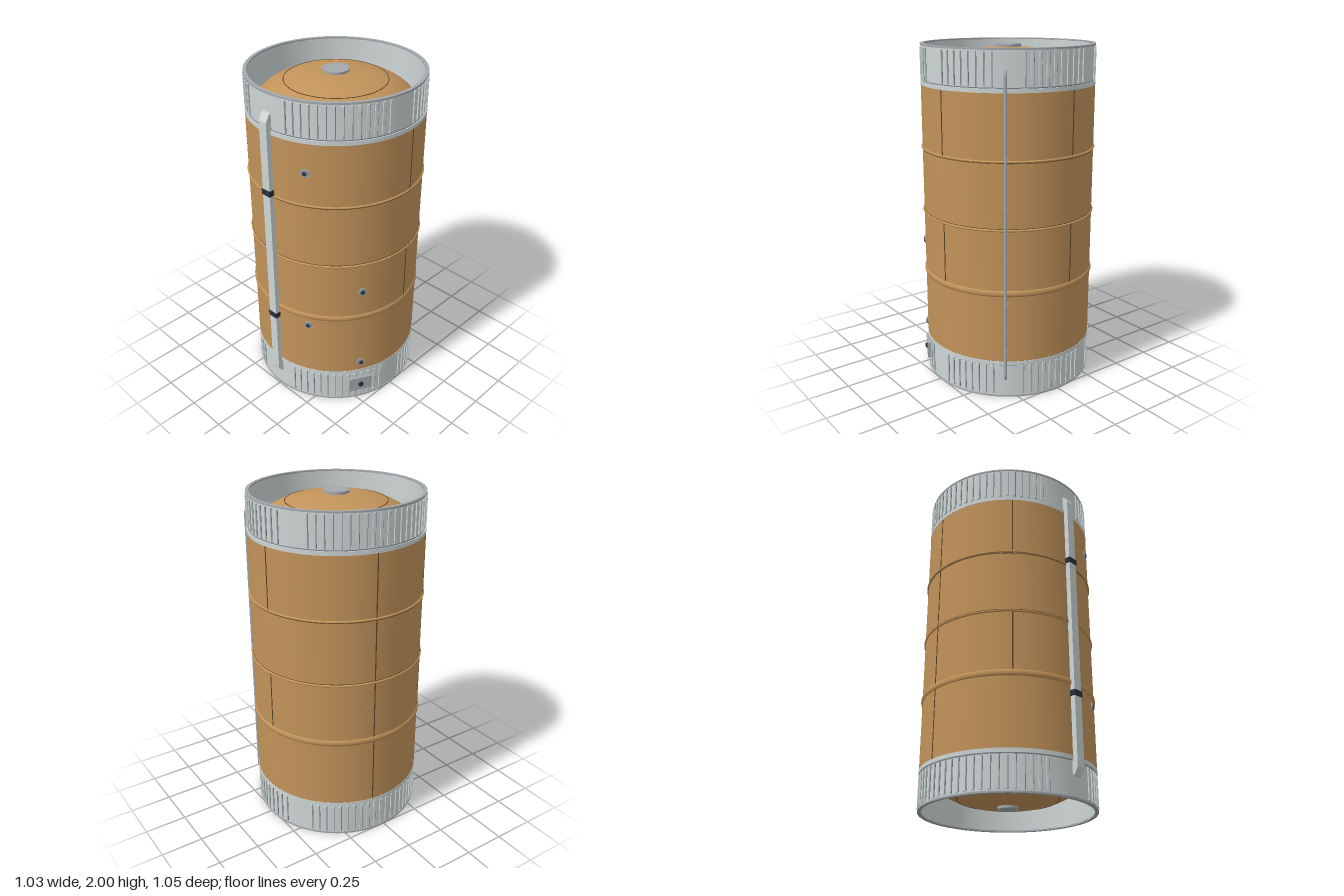
import * as THREE from 'three';
import { toCreasedNormals } from 'three/addons/utils/BufferGeometryUtils.js';

const mat = (name, color, side = THREE.FrontSide) => {
  const m = new THREE.MeshStandardMaterial({ color, side });
  m.name = name;
  return m;
};

export function createModel() {
  const tan = mat('tan foam', 0xc2935a);
  const light = mat('light grey metal', 0xcdd5d5);
  const grey = mat('mid grey metal', 0xa4a9ad);
  const steel = mat('steel fitting', 0x7c858c);
  const dark = mat('dark strap', 0x2a3036);
  const seam = mat('brown seam', 0x5e4628);

  const model = new THREE.Group();
  const body = new THREE.Group();
  body.name = 'tank';
  body.position.z = -0.012;
  model.add(body);

  const add = (name, geo, material, parent = body) => {
    const m = new THREE.Mesh(geo, material);
    m.name = name;
    parent.add(m);
    return m;
  };
  // Solid of revolution from [radius, y] points
  const lathe = (pts, creased = true) => {
    const g = new THREE.LatheGeometry(pts.map(p => new THREE.Vector2(...p)), 96);
    return creased ? toCreasedNormals(g, 0.6) : g;
  };
  const tube = (inner, outer, y0, y1) =>
    lathe([[inner, y0], [outer, y0], [outer, y1], [inner, y1], [inner, y0]]);
  // Put an object on the wall at an angle (degrees) measured from the front
  const place = (obj, deg, r, y) => {
    const a = THREE.MathUtils.degToRad(deg);
    obj.position.set(Math.sin(a) * r, y, Math.cos(a) * r);
    obj.rotation.y = a;
    return obj;
  };

  // Outer wall
  add('outerWall', tube(0.488, 0.507, 0.225, 1.775), tan);

  // Inner tank with elliptical domes
  const profile = [];
  for (let i = 0; i <= 20; i++) {
    const t = (i / 20) * Math.PI / 2;
    profile.push([0.47 * Math.sin(t), 0.25 - 0.21 * Math.cos(t)]);
  }
  for (let i = 20; i >= 0; i--) {
    const t = (i / 20) * Math.PI / 2;
    profile.push([0.47 * Math.sin(t), 1.76 + 0.22 * Math.cos(t)]);
  }
  add('innerTank', lathe(profile, false), tan);

  // Dome caps, cap bolts and weld circles
  const domeDrop = Math.sqrt(1 - (0.29 / 0.47) ** 2);
  for (const top of [true, false]) {
    const r = top ? 0.075 : 0.06;
    const y = top ? 1.98 : 0.04;
    const cap = add(top ? 'topCap' : 'bottomCap', new THREE.CylinderGeometry(r, r, 0.024, 48), grey);
    cap.position.y = y;
    for (let i = 0; i < 12; i++) {
      const bolt = add('capBolt', new THREE.CylinderGeometry(0.004, 0.004, 0.028, 8), grey);
      place(bolt, i * 30, r * 0.85, y);
    }
    const weld = add('domeWeld', new THREE.TorusGeometry(0.29, 0.0025, 6, 96), seam);
    weld.rotation.x = Math.PI / 2;
    weld.position.y = top ? 1.76 + 0.22 * domeDrop : 0.25 - 0.21 * domeDrop;
  }

  // Horizontal ribs: two thin, one thick
  for (const [y, h] of [[1.405, 0.006], [1.02, 0.007], [0.648, 0.019]]) {
    const rib = [];
    for (let i = 0; i <= 8; i++) {
      const t = -Math.PI / 2 + Math.PI * i / 8;
      rib.push([0.505 + 0.010 * Math.cos(t), y + h * Math.sin(t)]);
    }
    add('wallRib', lathe(rib, false), tan);
  }
  for (const y of [1.396, 1.029]) {
    add('ribSeam', tube(0.5, 0.5085, y - 0.0015, y + 0.0015), seam);
  }

  // Vertical wall seams
  for (const [deg, spans] of [
    [-43, [[1.41, 1.77], [0.667, 1.015]]],
    [98, [[1.41, 1.77], [0.667, 1.015]]],
    [188, [[1.41, 1.77], [0.667, 1.015]]],
    [-99, [[1.41, 1.77], [1.03, 1.395], [0.667, 1.015], [0.23, 0.63]]],
  ]) {
    for (const [y0, y1] of spans) {
      const s = add('wallSeam', new THREE.BoxGeometry(0.006, y1 - y0, 0.006), seam);
      place(s, deg, 0.506, (y0 + y1) / 2);
    }
  }

  // Ribbed end skirts
  const bare = [[-20, 12], [82, 94], [134, 150], [202, 216]];
  for (const top of [true, false]) {
    const skirt = new THREE.Group();
    skirt.name = top ? 'topSkirt' : 'bottomSkirt';
    body.add(skirt);
    const Y = y => (top ? 2 - y : y);
    const ring = (name, ri, ro, a, b, m) =>
      add(name, tube(ri, ro, Math.min(Y(a), Y(b)), Math.max(Y(a), Y(b))), m, skirt);
    ring('skirtWall', 0.485, 0.501, 0.008, 0.228, light);
    ring('skirtRim', 0.485, 0.505, 0, 0.01, grey);
    ring('skirtCollar', 0.49, 0.509, 0.207, 0.23, light);
    ring('collarSeam', 0.49, 0.5025, 0.202, 0.207, steel);
    for (let deg = -22; deg < 338; deg += 5) {
      const d = deg > 180 && deg > 330 ? deg - 360 : deg;
      if (bare.some(([a, b]) => d > a && d < b)) continue;
      const s = add('stringer', new THREE.BoxGeometry(0.015, 0.18, 0.012), light, skirt);
      place(s, deg, 0.502, Y(0.108));
      // shadow gap beside each stringer
      const g = add('stringerGap', new THREE.BoxGeometry(0.005, 0.18, 0.004), steel, skirt);
      place(g, deg + 1.1, 0.5005, Y(0.108));
    }
  }

  // Front cable tray with sloped ends
  const side = new THREE.Shape([
    [0.495, 0.12], [0.512, 0.125], [0.535, 0.165], [0.535, 1.845], [0.512, 1.885], [0.495, 1.89],
  ].map(p => new THREE.Vector2(...p)));
  const trayGeo = new THREE.ExtrudeGeometry(side, { depth: 0.056, bevelEnabled: false });
  trayGeo.rotateY(-Math.PI / 2);
  const tray = add('cableTray', trayGeo, light);
  tray.position.x = 0.025;
  for (const y of [1.425, 0.58]) {
    add('trayStrap', new THREE.BoxGeometry(0.064, 0.034, 0.05), dark).position.set(-0.003, y, 0.514);
  }

  // Rear pipe with ends bent into the skirts, and clips
  const pipe = new THREE.Group();
  pipe.name = 'rearPipe';
  body.add(pipe);
  place(pipe, 142, 0, 0);
  const path = new THREE.CurvePath();
  const pts = [[0.497, 0.115], [0.517, 0.14], [0.517, 1.86], [0.497, 1.885]]
    .map(([r, y]) => new THREE.Vector3(0, y, r));
  for (let i = 0; i < 3; i++) path.add(new THREE.LineCurve3(pts[i], pts[i + 1]));
  add('pipe', new THREE.TubeGeometry(path, 160, 0.009, 10), grey, pipe);
  for (const y of [0.3, 0.58, 0.86, 1.14, 1.42, 1.7]) {
    add('pipeClip', new THREE.BoxGeometry(0.024, 0.01, 0.022), grey, pipe).position.set(0, y, 0.512);
  }

  // Round wall ports
  for (const [deg, y] of [[26, 1.6], [26, 0.582], [62, 0.83], [62, 0.292]]) {
    const port = new THREE.Group();
    port.name = 'wallPort';
    body.add(place(port, deg, 0.507, y));
    for (const [r, d, m] of [[0.026, 0.008, grey], [0.019, 0.018, steel], [0.011, 0.022, dark]]) {
      add('portDisc', new THREE.CylinderGeometry(r, r, d, 24).rotateX(Math.PI / 2), m, port);
    }
  }

  // Connector panel with three sockets
  const panel = new THREE.Group();
  panel.name = 'connectorPanel';
  body.add(place(panel, 62, 0.507, 0.117));
  add('panelPlate', new THREE.BoxGeometry(0.145, 0.098, 0.024), grey, panel);
  for (const x of [-0.045, 0, 0.045]) {
    const s = add('socket', new THREE.CylinderGeometry(0.016, 0.016, 0.04, 20).rotateX(Math.PI / 2), dark, panel);
    s.position.z = 0.002;
  }

  return model;
}
